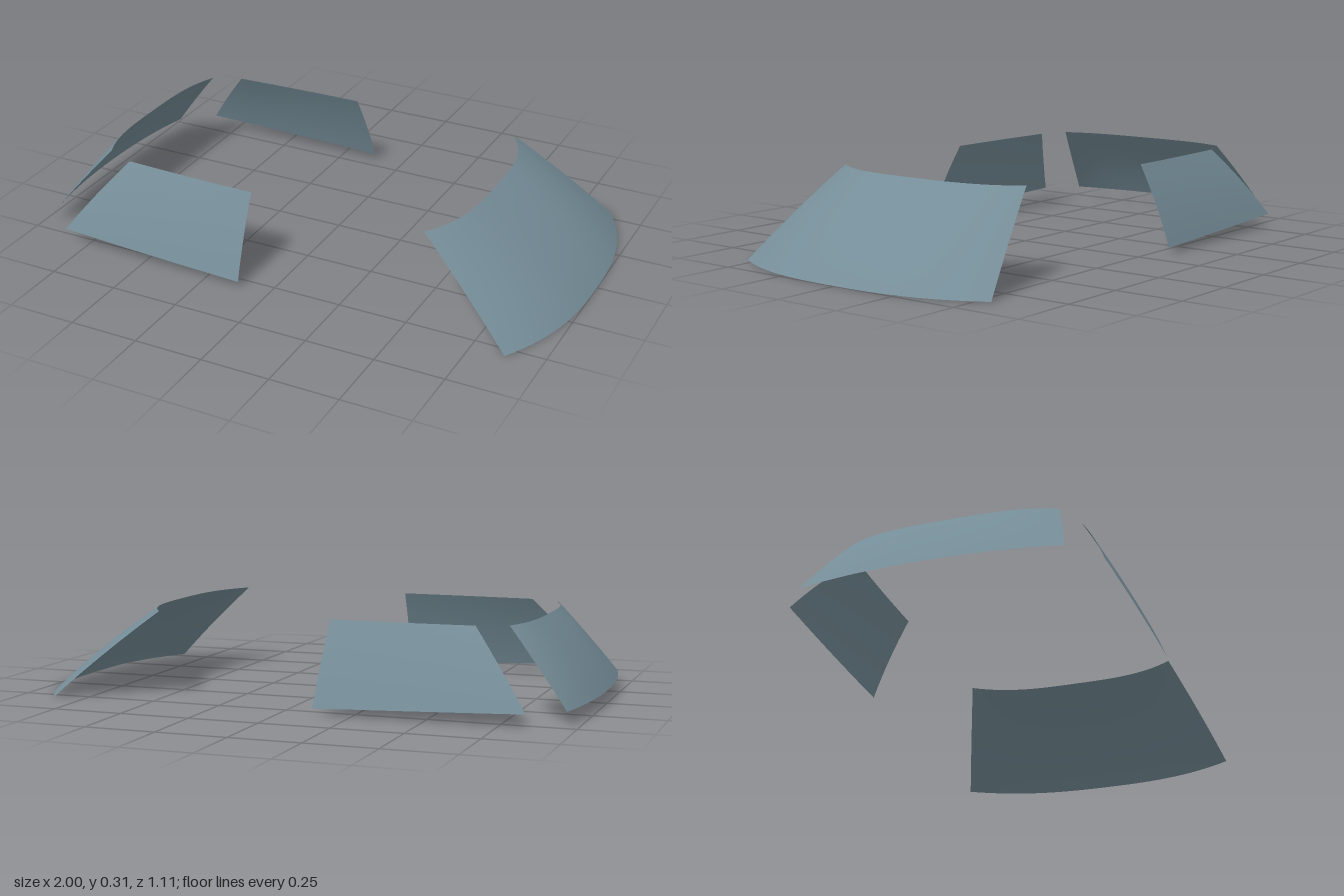
import * as THREE from 'three';

const glass = new THREE.MeshStandardMaterial({ color: 0x758d98, side: THREE.DoubleSide });
const { lerp } = THREE.MathUtils;

// Smooth pane from a rule: u runs left to right and v bottom to top, seen from outside
function pane(name, rule, nu, nv) {
  const geometry = new THREE.PlaneGeometry(1, 1, nu, nv);
  const pos = geometry.attributes.position;
  for (let i = 0; i < pos.count; i++) {
    pos.setXYZ(i, ...rule(pos.getX(i) + 0.5, pos.getY(i) + 0.5));
  }
  geometry.computeVertexNormals();
  const mesh = new THREE.Mesh(geometry, glass);
  mesh.name = name;
  return mesh;
}

// Wraparound pane: bottom and top edges give y, x at the middle, half width and corner sweep
function wrapPane(name, dir, bottom, top, bulge) {
  return pane(name, (u, v) => {
    const s = 2 * u - 1;
    const mix = key => lerp(bottom[key], top[key], v);
    const arch = 4 * v * (1 - v);
    const sweep = mix('sweep') * Math.abs(s) ** mix('power');
    const x = mix('x') - sweep + bulge * arch * (1 - 0.6 * s * s);
    const z = -s * (mix('half') + 0.004 * arch);
    return [dir * x, mix('y'), dir * z];
  }, 32, 12);
}

// Side pane with a gentle outward bow; side is +1 for left of z, -1 for its mirror
function sidePane(name, side) {
  return pane(name, (u, v) => {
    const t = side > 0 ? u : 1 - u;
    const bow = 4 * v * (1 - v);
    const x = lerp(lerp(-0.84, -0.635, v) - 0.006 * bow, lerp(-0.115, -0.13, v), t);
    const y = lerp(lerp(0.045, 0.022, t), 0.306, v);
    const z = lerp(0.54, 0.405, v) + 0.014 * (1 - (1 - t) ** 2) + 0.007 * bow;
    return [x, y, side * z];
  }, 12, 8);
}

export function createModel() {
  const group = new THREE.Group();
  group.name = 'carWindows';
  group.add(
    wrapPane('windshield', 1,
      { x: 1.0, y: 0, half: 0.543, sweep: 0.13, power: 2.6 },
      { x: 0.61, y: 0.306, half: 0.407, sweep: 0.092, power: 3.2 }, 0.022),
    wrapPane('rearWindow', -1,
      { x: 1.0, y: 0.045, half: 0.447, sweep: 0.045, power: 2.2 },
      { x: 0.79, y: 0.306, half: 0.363, sweep: 0.05, power: 3.4 }, 0.01),
    sidePane('frontFacingSideWindow', 1),
    sidePane('backFacingSideWindow', -1),
  );
  return group;
}
